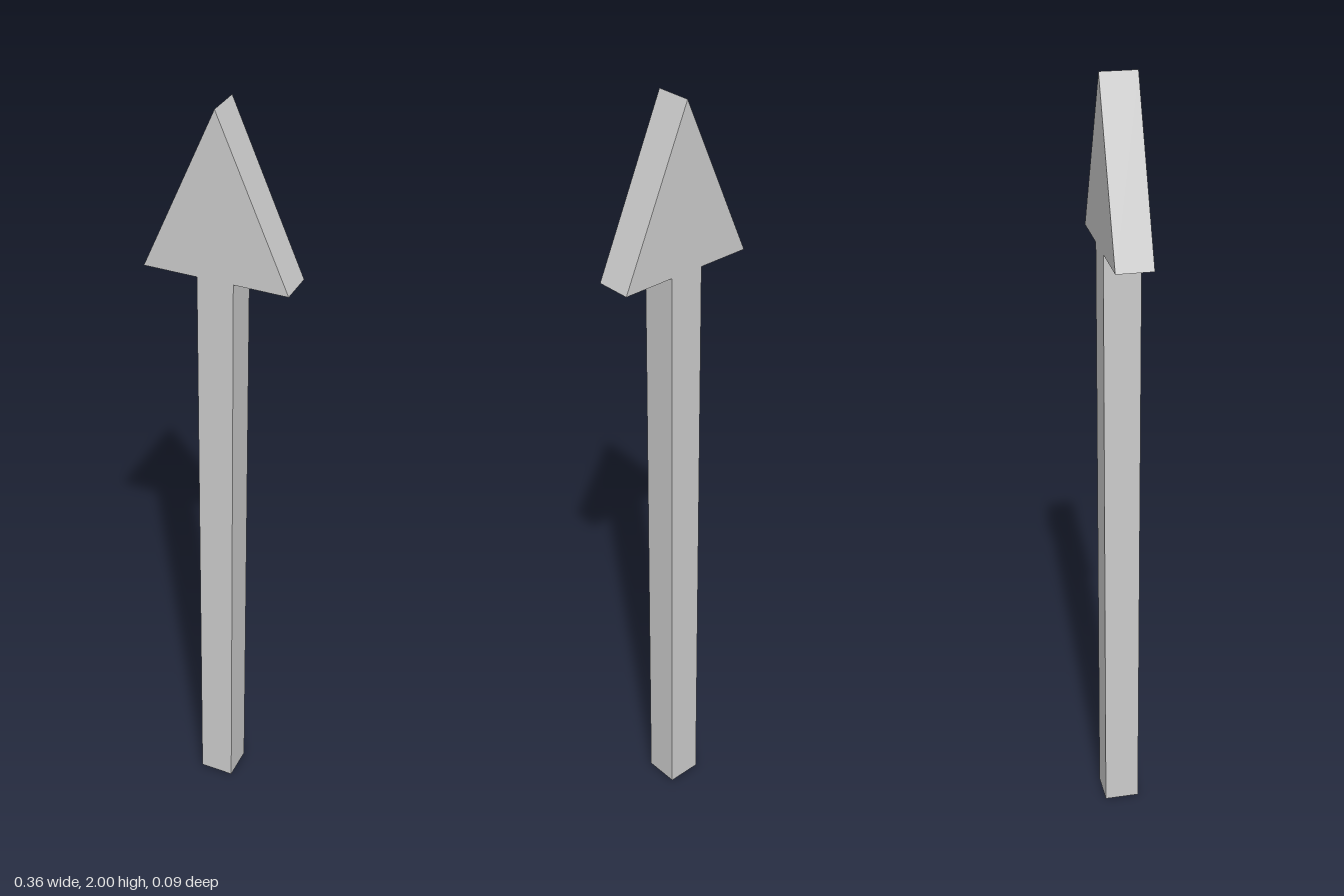
import * as THREE from 'three';

const HEIGHT = 2;
const HEAD_BASE = 1.59;
const HEAD_HALF = 0.181;
const SHAFT_HALF = 0.0455;
const DEPTH = 0.091;

export function createModel() {
  const group = new THREE.Group();
  group.name = 'arrowSign';

  // Right half of the outline, from the foot to the tip, then mirrored
  const half = [
    [SHAFT_HALF, 0],
    [SHAFT_HALF, HEAD_BASE],
    [HEAD_HALF, HEAD_BASE],
  ];
  const outline = [
    ...half,
    [0, HEIGHT],
    ...half.map(([x, y]) => [-x, y]).reverse(),
  ].map(([x, y]) => new THREE.Vector2(x, y));

  // Shaft and head are one flush slab of even thickness
  const geometry = new THREE.ExtrudeGeometry(new THREE.Shape(outline), {
    depth: DEPTH,
    bevelEnabled: false,
  });
  geometry.translate(0, 0, -DEPTH / 2);

  const arrow = new THREE.Mesh(
    geometry,
    new THREE.MeshStandardMaterial({ color: 0xcccccc, flatShading: true }),
  );
  arrow.name = 'arrow';
  group.add(arrow);
  return group;
}
